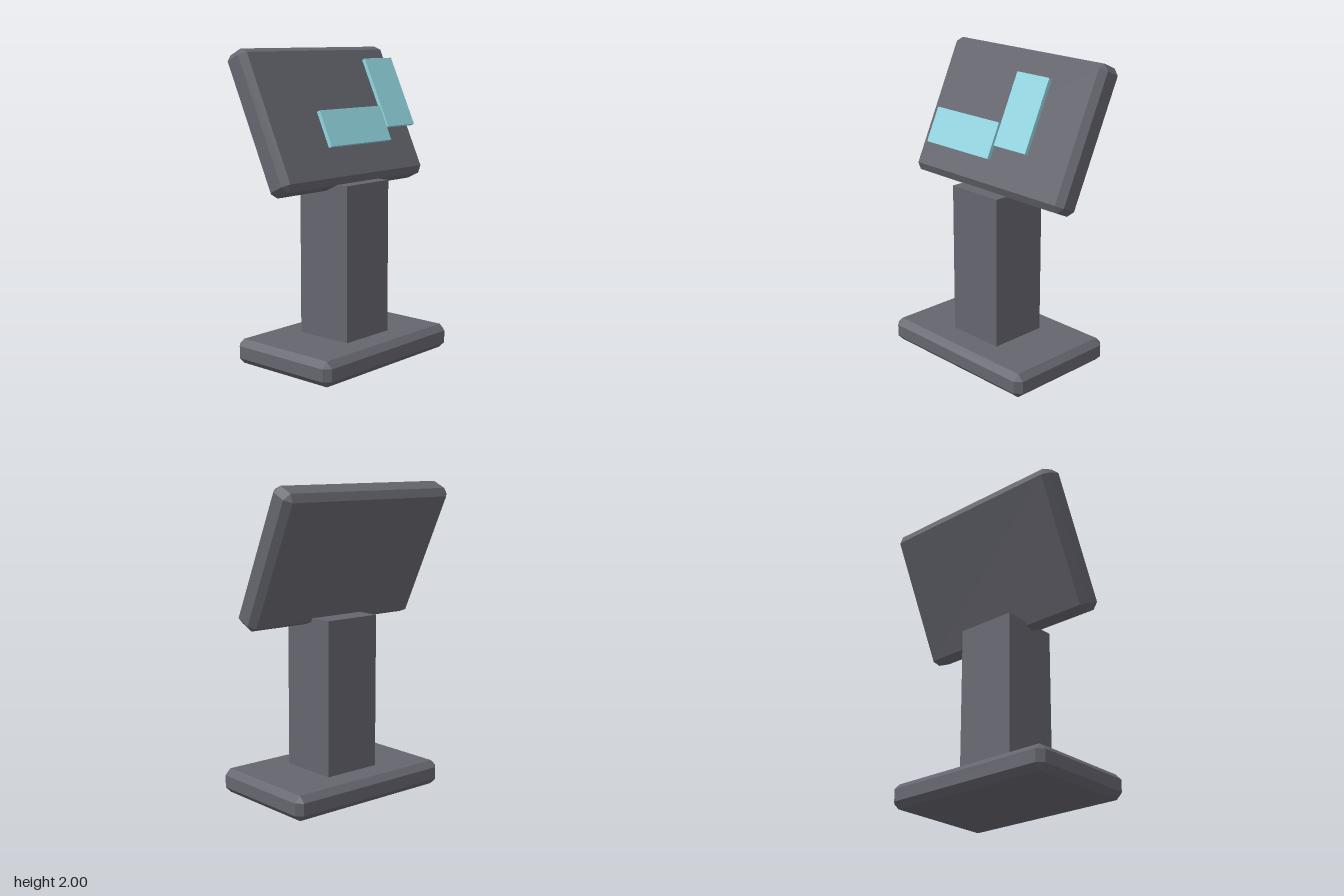
import * as THREE from 'three';
import { ConvexGeometry } from 'three/addons/geometries/ConvexGeometry.js';

// Box with every edge cut at 45 degrees and triangular corners
function chamferedBox(w, h, d, c) {
  const points = [];
  for (const sx of [-1, 1]) for (const sy of [-1, 1]) for (const sz of [-1, 1]) {
    const x = w / 2, y = h / 2, z = d / 2;
    points.push(
      new THREE.Vector3(sx * x, sy * (y - c), sz * (z - c)),
      new THREE.Vector3(sx * (x - c), sy * y, sz * (z - c)),
      new THREE.Vector3(sx * (x - c), sy * (y - c), sz * z));
  }
  return new ConvexGeometry(points);
}

export function createModel() {
  const model = new THREE.Group();
  model.name = 'displayStand';

  const casing = new THREE.MeshStandardMaterial({ color: 0x65656f });
  casing.name = 'dark grey casing';
  const glow = new THREE.MeshStandardMaterial({ color: 0x92d6e1 });
  glow.name = 'pale cyan panel';

  const add = (name, geometry, material, x, y, z, tilt = 0) => {
    const mesh = new THREE.Mesh(geometry, material);
    mesh.name = name;
    mesh.position.set(x, y, z);
    mesh.rotation.x = tilt;
    model.add(mesh);
  };

  // Foot and column
  add('base', chamferedBox(1.2, 0.16, 0.8, 0.04), casing, 0, 0.08, 0);
  add('post', new THREE.BoxGeometry(0.4, 1.0, 0.4), casing, 0, 0.66, 0);

  // Screen leaning back, with two panels floating parallel to its face
  const tilt = THREE.MathUtils.degToRad(-25);
  add('screen', chamferedBox(1.33, 0.93, 0.18, 0.04), casing, 0, 1.5575, -0.13, tilt);
  add('widePanel', new THREE.BoxGeometry(0.56, 0.232, 0.025), glow, -0.11, 1.525, 0.187, tilt);
  add('tallPanel', new THREE.BoxGeometry(0.265, 0.47, 0.025), glow, 0.318, 1.713, 0.098, tilt);

  return model;
}
